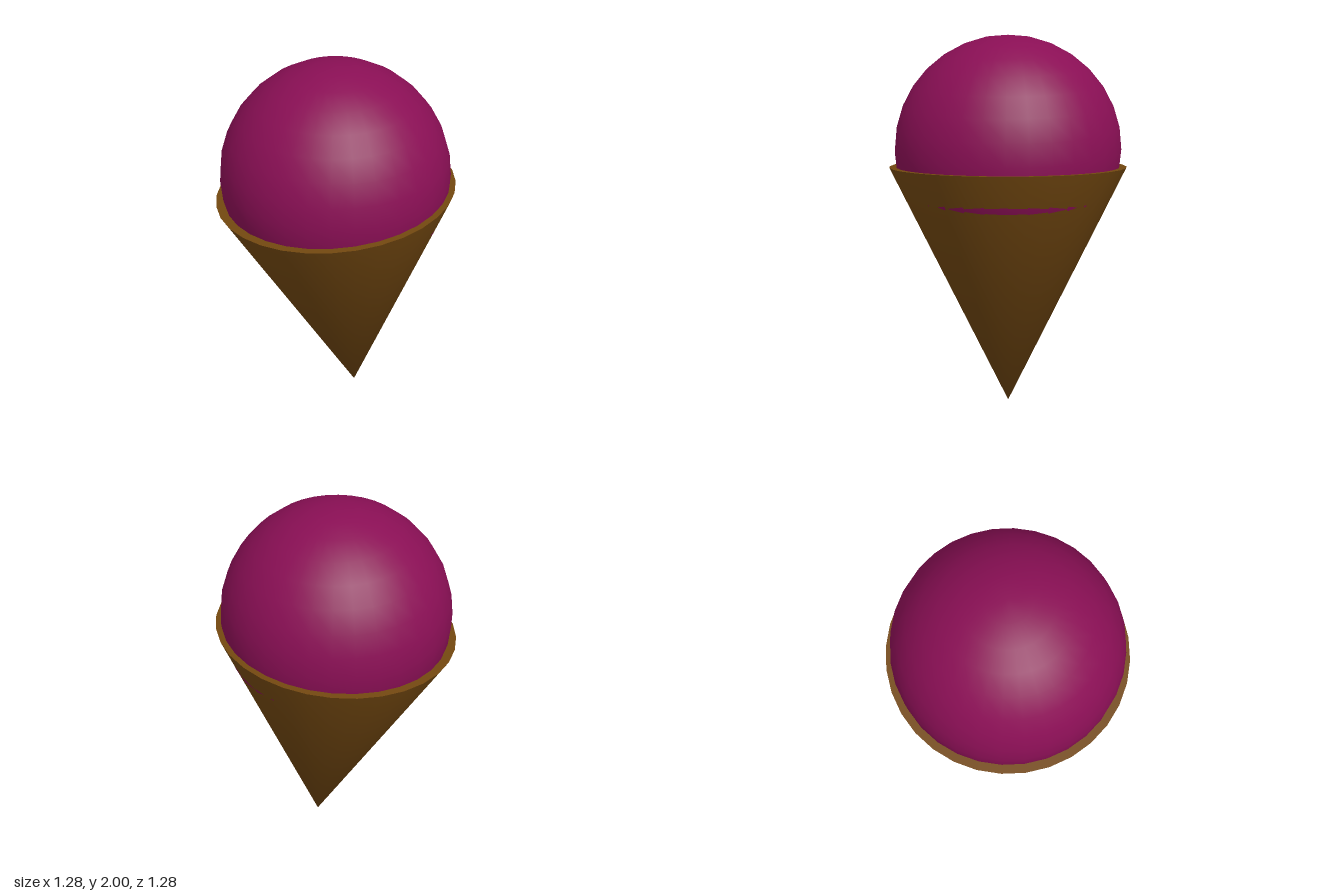
import * as THREE from 'three';
import { mergeVertices } from 'three/addons/utils/BufferGeometryUtils.js';

export function createModel() {
  const model = new THREE.Group();
  model.name = 'iceCream';

  const berry = new THREE.MeshStandardMaterial({ color: 0x8a0f55 });
  berry.name = 'berry';
  const wafer = new THREE.MeshStandardMaterial({ color: 0x734810 });
  wafer.name = 'wafer';

  const add = (parent, name, geometry, material) => {
    const mesh = new THREE.Mesh(geometry, material);
    mesh.name = name;
    parent.add(mesh);
    return mesh;
  };

  // Round scoop, resting in the cone and just pressing through its wall
  add(model, 'scoop', new THREE.SphereGeometry(0.612, 32, 16), berry).position.y = 1.388;

  // Slightly tilted cone, built tip down with the tip at its origin
  const tip = new THREE.Vector3(0.105, 0, 0.04);
  const axis = new THREE.Vector3(0, 1.293, 0).sub(tip);
  const height = axis.length();
  const radius = 0.642;
  const cone = new THREE.Group();
  cone.name = 'cone';
  cone.position.copy(tip);
  cone.quaternion.setFromUnitVectors(new THREE.Vector3(0, 1, 0), axis.clone().normalize());
  model.add(cone);

  // Wall, with one shared smooth vertex at the tip
  let wall = new THREE.ConeGeometry(radius, height, 32, 1, true);
  wall.rotateX(Math.PI).translate(0, height / 2, 0);
  wall.deleteAttribute('normal');
  wall.deleteAttribute('uv');
  wall = mergeVertices(wall);
  wall.computeVertexNormals();
  add(cone, 'coneWall', wall, wafer);

  // Flat rim closing the top
  const rim = new THREE.CircleGeometry(radius, 32);
  rim.rotateX(-Math.PI / 2).translate(0, height, 0);
  add(cone, 'coneRim', rim, wafer);

  return model;
}
